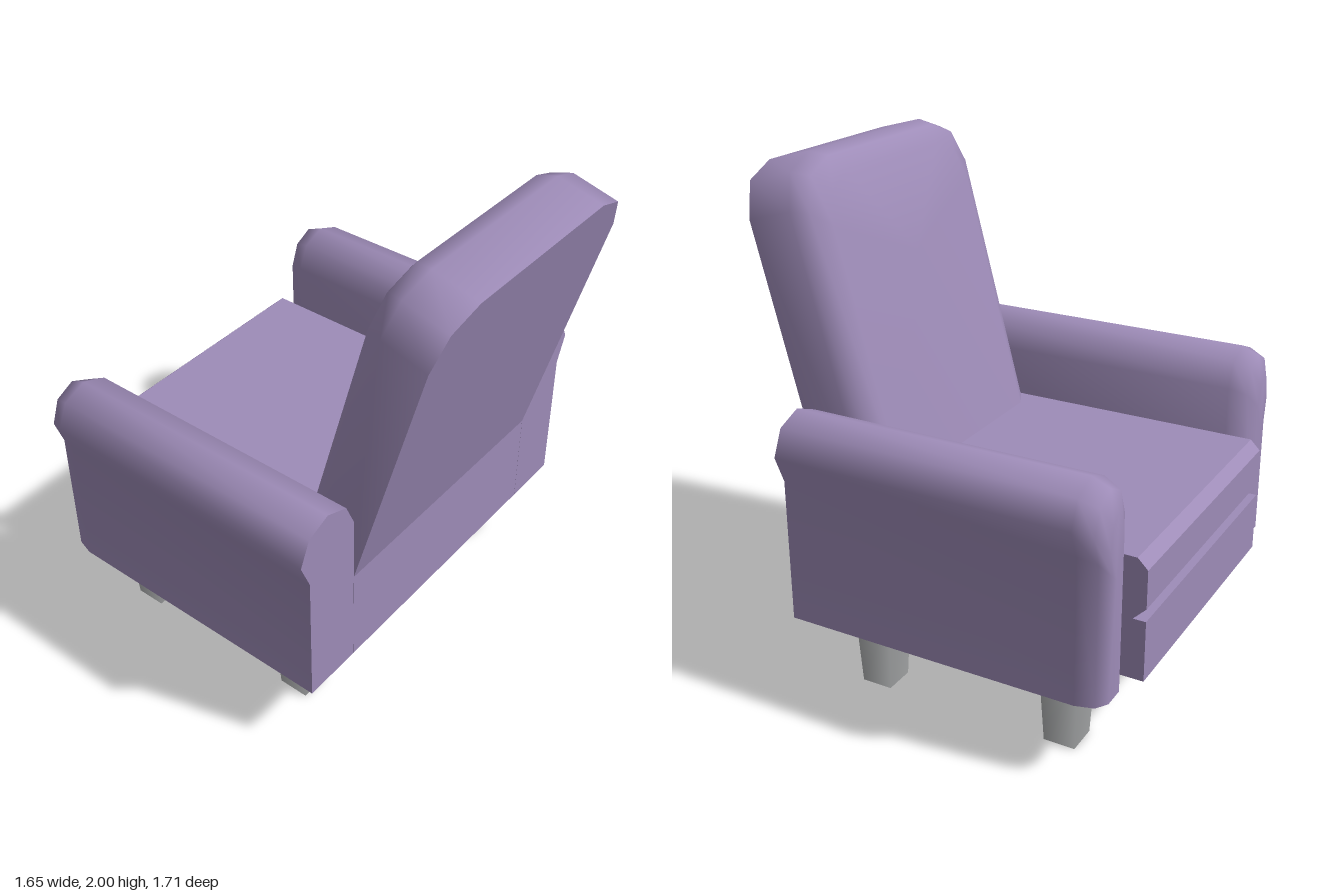
import * as THREE from 'three';
import { toCreasedNormals } from 'three/addons/utils/BufferGeometryUtils.js';

// Skin a list of rings (open along the bottom) and cap both ends
function loft(rings) {
  const pos = [];
  const tri = (...p) => p.forEach(v => pos.push(v.x, v.y, v.z));
  for (let i = 0; i < rings.length - 1; i++) {
    for (let j = 0; j < rings[i].length - 1; j++) {
      const a = rings[i][j], b = rings[i][j + 1];
      const c = rings[i + 1][j + 1], d = rings[i + 1][j];
      tri(a, b, c);
      tri(a, c, d);
    }
  }
  const cap = (ring, flip) => {
    const mid = new THREE.Vector3();
    ring.forEach(p => mid.addScaledVector(p, 1 / ring.length));
    ring.forEach((p, j) => {
      const q = ring[(j + 1) % ring.length];
      if (flip) tri(mid, q, p); else tri(mid, p, q);
    });
  };
  cap(rings[0], true);
  cap(rings[rings.length - 1], false);
  const geo = new THREE.BufferGeometry();
  geo.setAttribute('position', new THREE.Float32BufferAttribute(pos, 3));
  return toCreasedNormals(geo, 1.05);
}

// Extrude an x-y side profile across the width of the chair
function slab(points, width) {
  const shape = new THREE.Shape(points.map(p => new THREE.Vector2(...p)));
  const geo = new THREE.ExtrudeGeometry(shape, { depth: width, bevelEnabled: false });
  return geo.translate(0, 0, -width / 2);
}

export function createModel() {
  const chair = new THREE.Group();
  chair.name = 'armchair';
  const fabric = new THREE.MeshStandardMaterial({ color: 0x9e8cb8, side: THREE.DoubleSide });
  fabric.name = 'purple fabric';
  const metal = new THREE.MeshStandardMaterial({ color: 0xb0b2b3 });
  metal.name = 'grey leg';
  const add = (name, geo, mat) => {
    const mesh = new THREE.Mesh(geo, mat);
    mesh.name = name;
    chair.add(mesh);
    return mesh;
  };

  // Base and seat cushion; the chair opens towards -x
  add('base', slab([[-0.83, 0.32], [0.5, 0.32], [0.5, 0.56], [-0.83, 0.56]], 1.128), fabric);
  add('seatCushion', slab([
    [-0.78, 0.56], [0.5, 0.56], [0.5, 0.73], [0.3, 0.8],
    [-0.79, 0.8], [-0.83, 0.76], [-0.83, 0.61]
  ], 1.128), fabric);

  // Armrests: rolled top, rounded front end
  const armProfile = [
    [0.81, 0.32], [0.81, 0.89], [0.855, 1.0], [0.81, 1.1], [0.71, 1.14],
    [0.61, 1.1], [0.565, 1.0], [0.565, 0.32]
  ];
  const armStations = [[0.5, 1, 0], [-0.68, 1, 0], [-0.75, 0.8, 0.03], [-0.78, 0.35, 0.11]];
  for (const side of [1, -1]) {
    const rings = armStations.map(([x, widthScale, drop]) => {
      const ring = armProfile.map(([z, y]) => new THREE.Vector3(
        x, y - drop * (y - 0.32) / 0.82, side * (0.71 + (z - 0.71) * widthScale)));
      return side > 0 ? ring : ring.reverse();
    });
    add(side > 0 ? 'leftArmrest' : 'rightArmrest', loft(rings), fabric);
  }

  // Leaning backrest: flat rear, rounded towards the front
  const half = [[0.565, -0.1], [0.565, 1.077], [0.505, 1.21], [0.37, 1.262]];
  const backProfile = [...half, ...half.map(([z, u]) => [-z, u]).reverse()];
  const backStations = [[0, 0], [0.19, 0], [0.256, 0.03], [0.289, 0.1]];
  const lean = 0.26, s = Math.sin(lean), c = Math.cos(lean);
  add('backrest', loft(backStations.map(([t, inset]) => backProfile.map(([z, u]) => {
    const v = u * (1 - inset / 1.262);
    return new THREE.Vector3(0.5 + s * v - c * t, 0.73 + c * v + s * t, z * (1 - inset / 0.565));
  }))), fabric);

  // Four tapered square legs
  const legGeo = new THREE.CylinderGeometry(0.11, 0.088, 0.325, 4).rotateY(Math.PI / 4);
  for (const x of [-0.54, 0.255]) {
    for (const z of [-0.573, 0.573]) {
      add(x < 0 ? 'frontLeg' : 'backLeg', legGeo, metal).position.set(x, 0.1625, z);
    }
  }
  return chair;
}
